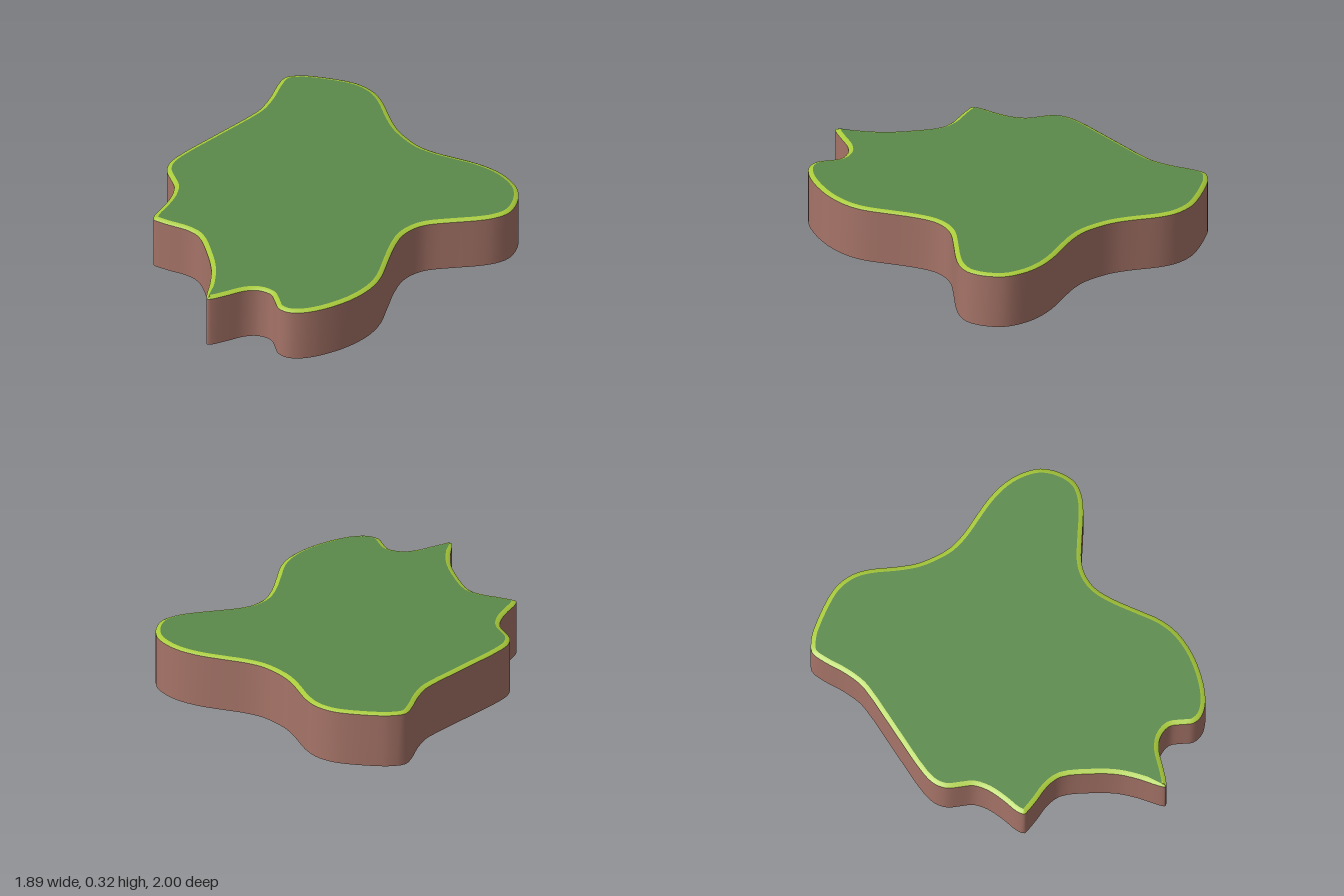
import * as THREE from 'three';

// Coastline as x, z pairs, walked round the plateau
const OUTLINE = [
  -0.95, -0.55, -0.92, -0.62, -0.88, -0.67, -0.73, -0.8, -0.65, -0.845, -0.55, -0.865, -0.45, -0.85,
  -0.31, -0.8, -0.2, -0.77, -0.1, -0.765, 0, -0.775, 0.1, -0.815, 0.2, -0.875, 0.32, -0.945,
  0.44, -0.99, 0.55, -1, 0.65, -0.98, 0.74, -0.91, 0.79, -0.82, 0.785, -0.73, 0.75, -0.64,
  0.68, -0.51, 0.62, -0.39, 0.605, -0.31, 0.62, -0.22, 0.68, -0.12, 0.78, 0, 0.87, 0.11,
  0.92, 0.22, 0.94, 0.37, 0.92, 0.54, 0.88, 0.65, 0.83, 0.71, 0.77, 0.73, 0.71, 0.71,
  0.64, 0.69, 0.57, 0.725, 0.53, 0.79, 0.51, 0.88, 0.485, 0.98, 0.47, 1, 0.44, 0.98,
  0.36, 0.9, 0.26, 0.82, 0.12, 0.75, -0.03, 0.7, -0.12, 0.72, -0.2, 0.765, -0.27, 0.8,
  -0.3, 0.81, -0.33, 0.78, -0.37, 0.69, -0.42, 0.6, -0.48, 0.54, -0.55, 0.515, -0.62, 0.49,
  -0.67, 0.44, -0.7, 0.36, -0.74, 0.07, -0.78, -0.23, -0.8, -0.29, -0.85, -0.38, -0.91, -0.465,
];
const WALL_TOP = 0.311;
const TOP = 0.322;
const INSET = 0.026;

function outlinePoints() {
  const control = [];
  for (let i = 0; i < OUTLINE.length; i += 2) control.push(new THREE.Vector3(OUTLINE[i], 0, OUTLINE[i + 1]));
  const curve = new THREE.CatmullRomCurve3(control, true, 'centripetal');
  return curve.getPoints(control.length * 3).slice(0, -1);
}

// Copy of the outline moved inward by a distance and raised to a height
function ring(points, inset, y) {
  const n = points.length;
  return points.map((p, i) => {
    const d = points[(i + 2) % n].clone().sub(points[(i - 2 + n) % n]).normalize();
    return new THREE.Vector3(p.x - d.z * inset, y, p.z + d.x * inset);
  });
}

// Smooth skin through a stack of closed rings
function loft(rings) {
  const n = rings[0].length;
  const geometry = new THREE.BufferGeometry().setFromPoints(rings.flat());
  const index = [];
  for (let r = 0; r < rings.length - 1; r++) {
    for (let i = 0; i < n; i++) {
      const a = r * n + i, b = r * n + (i + 1) % n;
      index.push(a, a + n, b, b, a + n, b + n);
    }
  }
  geometry.setIndex(index);
  geometry.computeVertexNormals();
  return geometry;
}

export function createModel() {
  const material = (name, color) => {
    const m = new THREE.MeshStandardMaterial({ color, side: THREE.DoubleSide });
    m.name = name;
    return m;
  };
  const earth = material('earth brown', 0xa67468);
  const lime = material('lime rim', 0xa9cb3a);
  const grass = material('grass green', 0x5a8a4a);

  const group = new THREE.Group();
  group.name = 'grassPlateau';
  const add = (name, geometry, mat) => {
    const mesh = new THREE.Mesh(geometry, mat);
    mesh.name = name;
    group.add(mesh);
  };
  const points = outlinePoints();

  // Upright earth wall, open underneath
  add('cliffWall', loft([ring(points, 0, 0), ring(points, 0, WALL_TOP)]), earth);

  // Slightly rounded bevel along the top edge
  const inner = ring(points, INSET, TOP);
  add('grassRim', loft([ring(points, 0, WALL_TOP), ring(points, INSET * 0.45, WALL_TOP + 0.007), inner]), lime);

  // Flat grass surface
  const shape = new THREE.Shape(inner.map((p) => new THREE.Vector2(p.x, -p.z)));
  add('grassTop', new THREE.ShapeGeometry(shape).rotateX(-Math.PI / 2).translate(0, TOP, 0), grass);

  return group;
}
